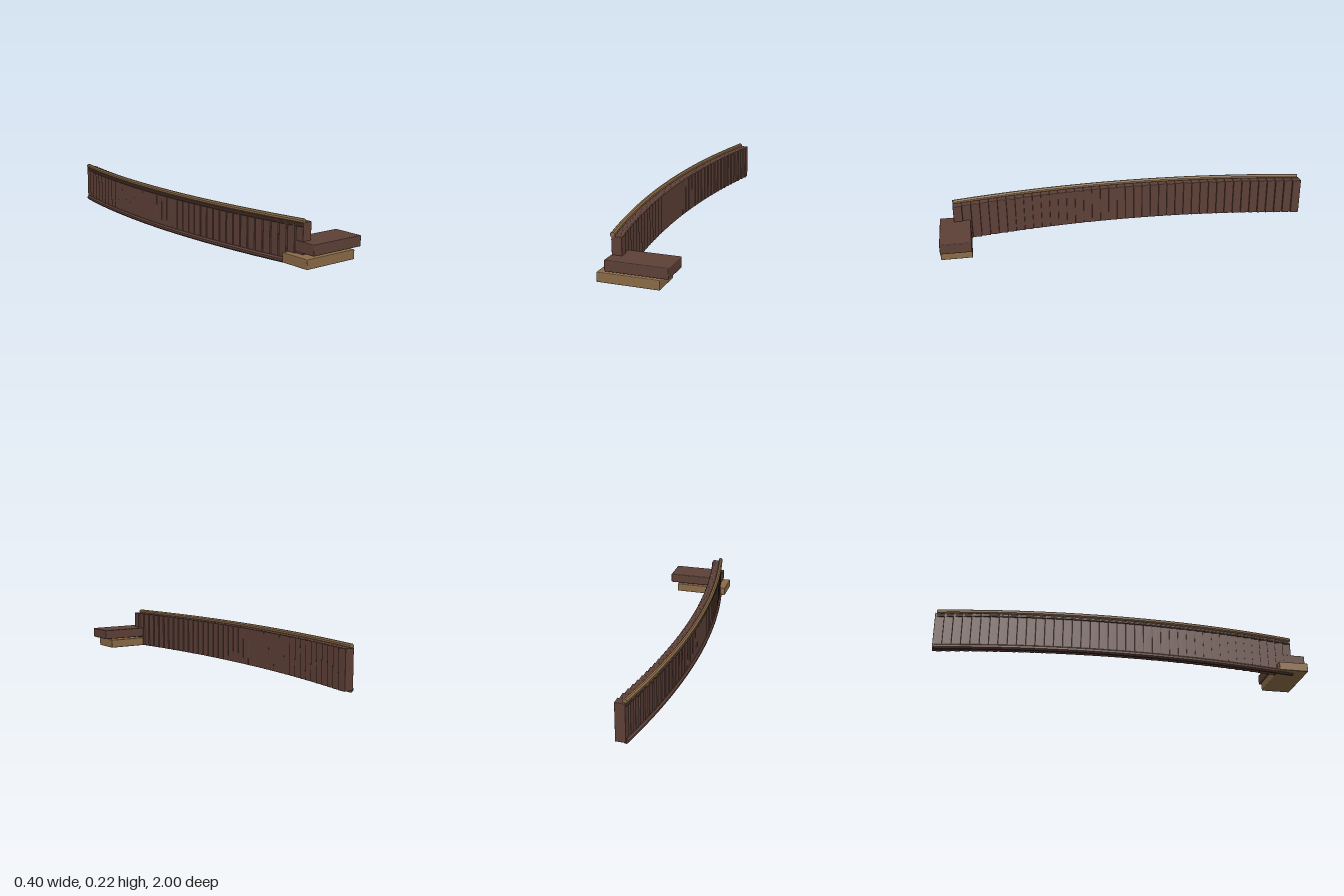
import * as THREE from 'three';
import { RoundedBoxGeometry } from 'three/addons/geometries/RoundedBoxGeometry.js';

const Z_MID = -0.037, HALF = 0.963;
// Outward bow of the wall: zero at the ends, largest in the middle
const bow = z => 0.09 * (1 - ((z - Z_MID) / 0.94) ** 2);

export function createModel() {
  const model = new THREE.Group();
  const brown = new THREE.MeshStandardMaterial({ color: 0x5d4037 });
  brown.name = 'dark brown wood';
  const tan = new THREE.MeshStandardMaterial({ color: 0x8b6b47 });
  tan.name = 'light brown wood';

  const add = (parent, name, geometry, material) => {
    const mesh = new THREE.Mesh(geometry, material);
    mesh.name = name;
    parent.add(mesh);
    return mesh;
  };

  // Row of overlapping-edge planks following the bow
  const planks = new THREE.Group();
  planks.name = 'plankWall';
  model.add(planks);
  const count = 41, pitch = 2 * HALF / count;
  const plankGeometry = new RoundedBoxGeometry(0.051, 0.197, pitch, 1, 0.002);
  for (let i = 0; i < count; i++) {
    const z = Z_MID - HALF + (i + 0.5) * pitch;
    add(planks, 'plank', plankGeometry, brown).position.set(-0.076 - bow(z), 0.108, z);
  }

  // Curved eight-sided rails along the outer face
  const rail = (name, y, r, material) => {
    const points = [];
    for (let i = 0; i <= 12; i++) {
      const z = -0.99 + 1.915 * i / 12;
      points.push(new THREE.Vector3(-0.1 - bow(z), y, z));
    }
    const corners = [];
    for (let i = 0; i < 8; i++) {
      const a = (i + 0.5) * Math.PI / 4, k = r / Math.cos(Math.PI / 8);
      corners.push(new THREE.Vector2(k * Math.cos(a), k * Math.sin(a)));
    }
    add(model, name, new THREE.ExtrudeGeometry(new THREE.Shape(corners), {
      steps: 40, bevelEnabled: false, extrudePath: new THREE.CatmullRomCurve3(points),
    }), material);
  };
  rail('topRail', 0.213, 0.011, tan);
  rail('thinRail', 0.190, 0.006, brown);
  rail('bottomRail', 0.013, 0.013, brown);

  // Two staggered blocks at the front end
  const block = (name, x, y, w, h, material) =>
    add(model, name, new RoundedBoxGeometry(w, h, 0.162, 1, 0.004), material).position.set(x, y, 0.919);
  block('lowerStep', 0.0075, 0.033, 0.305, 0.048, tan);
  block('upperStep', 0.048, 0.0915, 0.307, 0.054, brown);

  return model;
}
